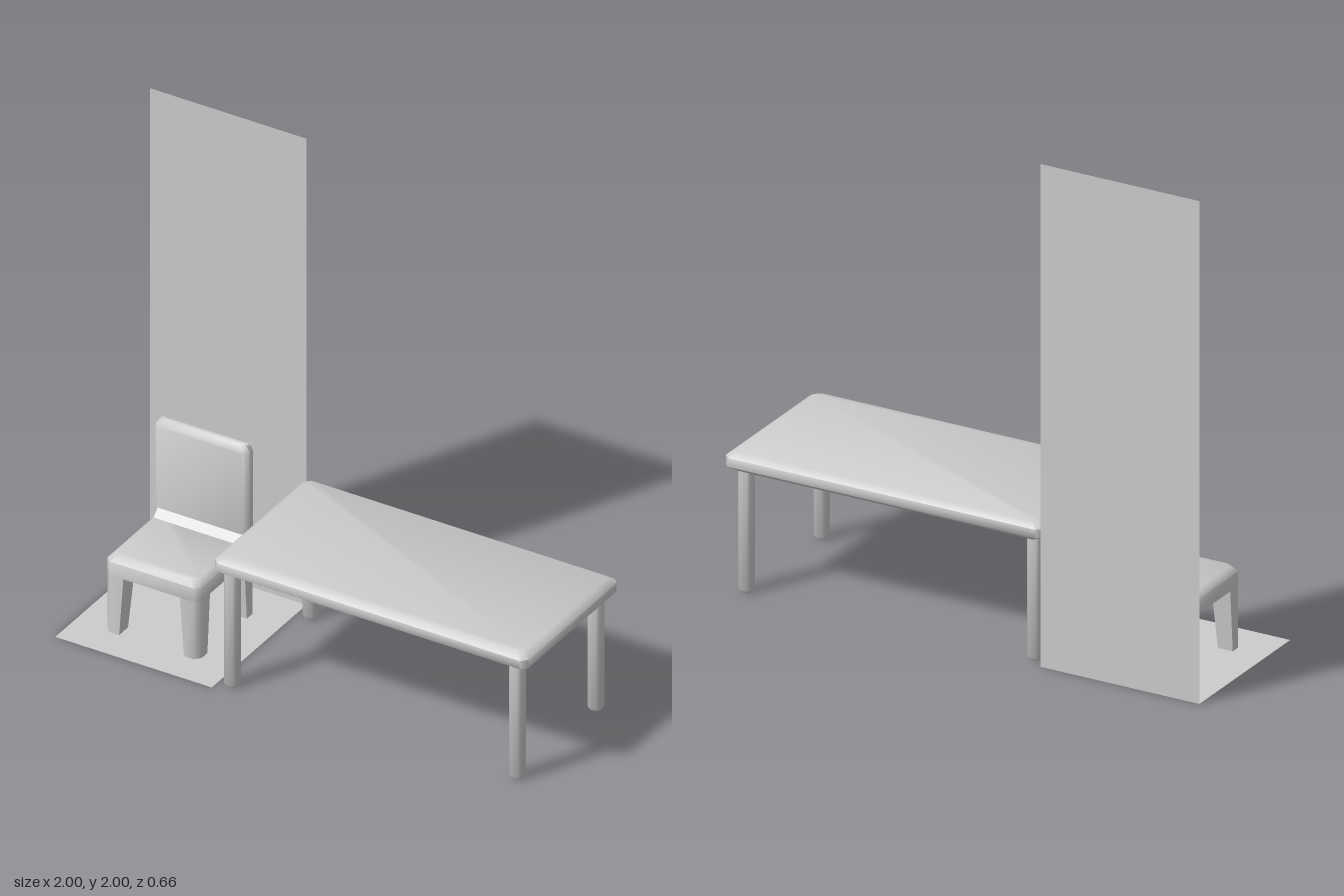
import * as THREE from 'three';
import { toCreasedNormals } from 'three/addons/utils/BufferGeometryUtils.js';

const material = new THREE.MeshStandardMaterial({ color: 0xcccccc });
const thin = new THREE.MeshStandardMaterial({ color: 0xcccccc, side: THREE.DoubleSide });

// Closed solid through horizontal outlines; each section is { y, points: [[x, z], ...] },
// ordered counter-clockwise as seen from above.
function loft(sections) {
  const n = sections[0].points.length;
  const pos = [], idx = [];
  sections.forEach(({ y, points }) => points.forEach(([x, z]) => pos.push(x, y, z)));
  for (let s = 0; s < sections.length - 1; s++) {
    for (let i = 0; i < n; i++) {
      const a = s * n + i, b = s * n + (i + 1) % n;
      idx.push(a, b, b + n, a, b + n, a + n);
    }
  }
  const top = (sections.length - 1) * n;
  for (let i = 1; i < n - 1; i++) {
    idx.push(0, i + 1, i, top, top + i, top + i + 1);
  }
  const g = new THREE.BufferGeometry();
  g.setAttribute('position', new THREE.Float32BufferAttribute(pos, 3));
  g.setIndex(idx);
  return toCreasedNormals(g, 1.0);
}

// Rectangle with cut corners, given by centre, half sizes and corner cut
function outline(cx, cz, hx, hz, c) {
  return [[hx, hz - c], [hx, c - hz], [hx - c, -hz], [c - hx, -hz],
    [-hx, c - hz], [-hx, hz - c], [c - hx, hz], [hx - c, hz]]
    .map(([x, z]) => [cx + x, cz + z]);
}

// Cut-corner block; levels are [y, inset] pairs
function block(cx, cz, hx, hz, c, levels) {
  return loft(levels.map(([y, inset]) => ({
    y, points: outline(cx, cz, hx - inset, hz - inset, c),
  })));
}

function add(parent, name, geometry, mat = material) {
  const mesh = new THREE.Mesh(geometry, mat);
  mesh.name = name;
  parent.add(mesh);
  return mesh;
}

function group(parent, name) {
  const g = new THREE.Group();
  g.name = name;
  parent.add(g);
  return g;
}

function makeTable(parent) {
  const table = group(parent, 'table');
  add(table, 'tableTop', block(0.333, 0, 0.667, 0.331, 0.022,
    [[0.485, 0.027], [0.505, 0], [0.54, 0], [0.56, 0.027]]));
  for (const x of [-0.279, 0.934]) {
    for (const z of [-0.272, 0.276]) {
      add(table, 'tableLeg', block(x, z, 0.026, 0.026, 0.01,
        [[0, 0.007], [0.012, 0], [0.49, 0]]));
    }
  }
}

function makeChair(parent) {
  const chair = group(parent, 'chair');
  chair.position.x = -0.67;
  const h = 0.2, c = 0.022;
  add(chair, 'seat', block(0, 0, h, h, c, [[0.245, 0], [0.303, 0], [0.325, 0.022]]));
  add(chair, 'backrest', block(0, -0.169, h, 0.031, 0.02,
    [[0.303, 0], [0.7, 0], [0.725, 0.018]]));

  // Sloped joint between seat and backrest
  const joint = new THREE.Shape([[0.135, 0.32], [0.11, 0.325], [0.14, 0.355], [0.15, 0.32]]
    .map(([x, y]) => new THREE.Vector2(x, y)));
  const fillet = new THREE.ExtrudeGeometry(joint, { depth: 0.36, bevelEnabled: false });
  fillet.translate(0, 0, -0.18).rotateY(Math.PI / 2);
  add(chair, 'seatJoint', fillet);

  // Legs taper on their inner faces only
  for (const sx of [-1, 1]) {
    for (const sz of [-1, 1]) {
      const section = (y, w) => {
        const points = [[w, w], [0, w], [0, c], [c, 0], [w, 0]]
          .map(([dx, dz]) => [sx * (h - dx), sz * (h - dz)]);
        return { y, points: sx * sz > 0 ? points.reverse() : points };
      };
      add(chair, sz > 0 ? 'frontLeg' : 'backLeg', loft([section(0, 0.062), section(0.245, 0.08)]));
    }
  }
}

export function createModel() {
  const model = new THREE.Group();
  model.name = 'tableAndChair';

  // Thin floor and wall panels behind and below the chair
  const floor = add(model, 'floorPanel', new THREE.PlaneGeometry(0.666, 0.662), thin);
  floor.rotation.x = -Math.PI / 2;
  floor.position.set(-0.667, 0, 0);
  const wall = add(model, 'wallPanel', new THREE.PlaneGeometry(0.666, 2), thin);
  wall.position.set(-0.667, 1, -0.331);

  makeChair(model);
  makeTable(model);
  return model;
}
